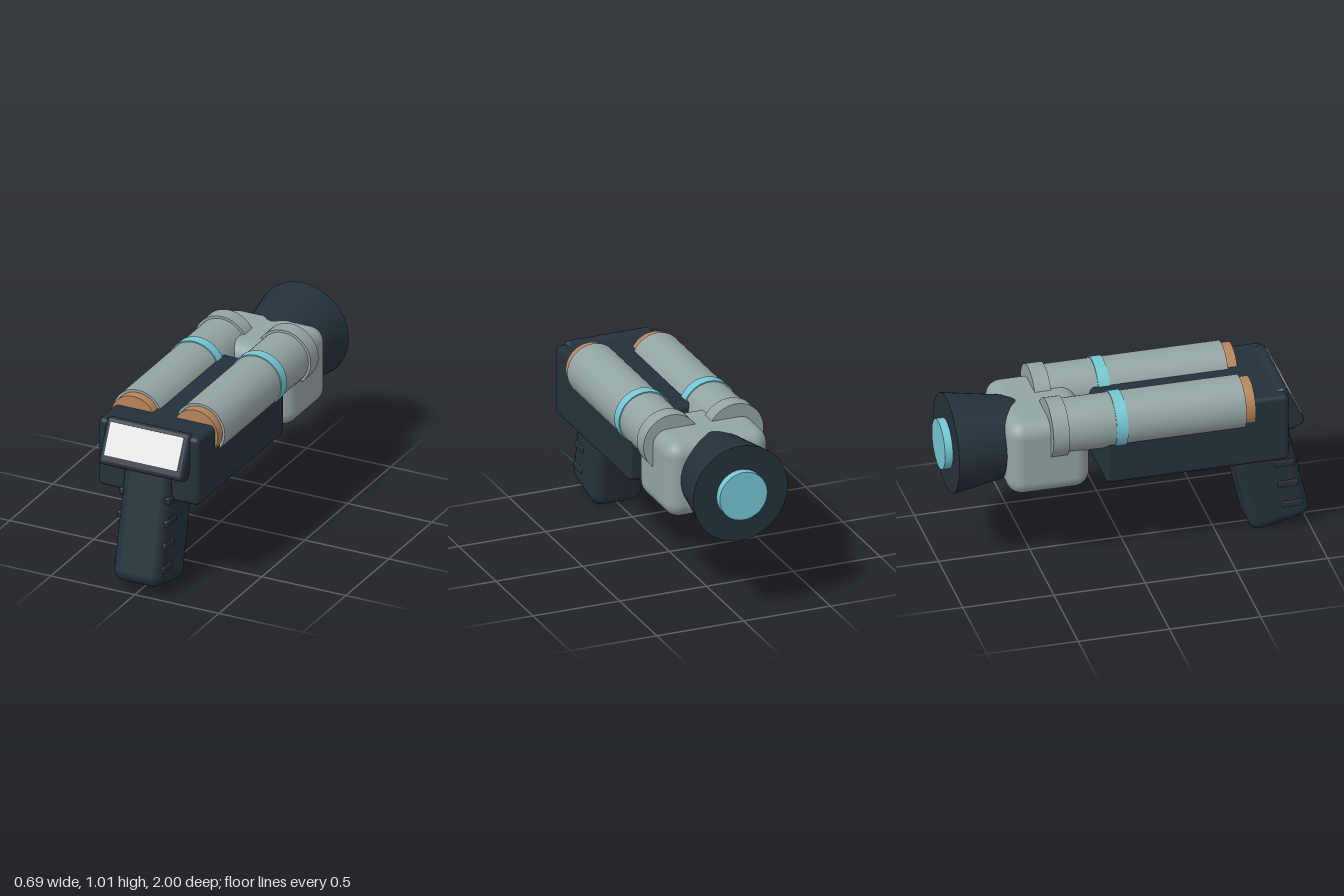
import * as THREE from 'three';
import { RoundedBoxGeometry } from 'three/addons/geometries/RoundedBoxGeometry.js';

const paint = (name, color) => {
  const m = new THREE.MeshStandardMaterial({ color });
  m.name = name;
  return m;
};

export function createModel() {
  const dark = paint('dark slate', 0x24313a);
  const grey = paint('grey metal', 0x93a3a3);
  const cyan = paint('cyan', 0x74c6d2);
  const copper = paint('copper', 0xb5855a);
  const white = paint('screen white', 0xe8e8e8);

  const model = new THREE.Group();
  model.name = 'blaster';

  const add = (name, geometry, material, x, y, z, parent = model) => {
    const mesh = new THREE.Mesh(geometry, material);
    mesh.name = name;
    mesh.position.set(x, y, z);
    parent.add(mesh);
    return mesh;
  };
  const box = (w, h, d, r, segments = 4) => new RoundedBoxGeometry(w, h, d, segments, r);
  // Cylinder lying along z between zBack and zFront
  const rod = (name, rBack, rFront, zBack, zFront, x, y, material, parent) => {
    const g = new THREE.CylinderGeometry(rFront, rBack, zFront - zBack, 48).rotateX(Math.PI / 2);
    return add(name, g, material, x, y, (zBack + zFront) / 2, parent);
  };

  // Main body and rear block
  add('body', box(0.6, 0.395, 1.005, 0.028), dark, 0, 0.7125, 0.3425);
  add('barrelBlock', box(0.584, 0.436, 0.45, 0.085, 6), grey, 0, 0.712, -0.46);

  // Flared nozzle with its glowing disc
  rod('nozzle', 0.272, 0.2, -0.957, -0.53, 0, 0.722, dark);
  rod('nozzleDisc', 0.137, 0.137, -1, -0.95, 0, 0.722, cyan);

  // Twin canisters
  for (const side of [-1, 1]) {
    const canister = new THREE.Group();
    canister.name = side > 0 ? 'leftCanister' : 'rightCanister';
    model.add(canister);
    const x = 0.185 * side, y = 0.846;
    rod('tube', 0.147, 0.147, -0.45, 0.602, x, y, grey, canister);
    rod('flange', 0.161, 0.161, -0.46, -0.37, x, y, grey, canister);
    rod('band', 0.153, 0.153, -0.11, -0.048, x, y, cyan, canister);
    rod('endCap', 0.133, 0.133, 0.59, 0.656, x, y, copper, canister);
  }

  // Slanted display panel
  const display = new THREE.Group();
  display.name = 'display';
  display.position.set(0, 0.795, 0.851);
  display.rotation.x = -0.445;
  model.add(display);
  add('displayHousing', box(0.5, 0.26, 0.1, 0.025), dark, 0, 0, 0, display);
  add('screen', new THREE.BoxGeometry(0.435, 0.18, 0.008), white, 0, 0.011, 0.05, display);

  // Raked grip
  const grip = add('grip', box(0.286, 0.7, 0.336, 0.06, 6), dark, 0, 0.368, 0.772);
  grip.rotation.x = -0.227;

  // Finger ridges on both sides of the grip
  for (const side of [-1, 1]) {
    for (let i = 0; i < 4; i++) {
      add('gripRidge', box(0.03, 0.04, 0.112, 0.01, 2), dark,
        0.135 * side, 0.153 + i * 0.126, 0.901 - i * 0.0215);
    }
  }

  return model;
}
